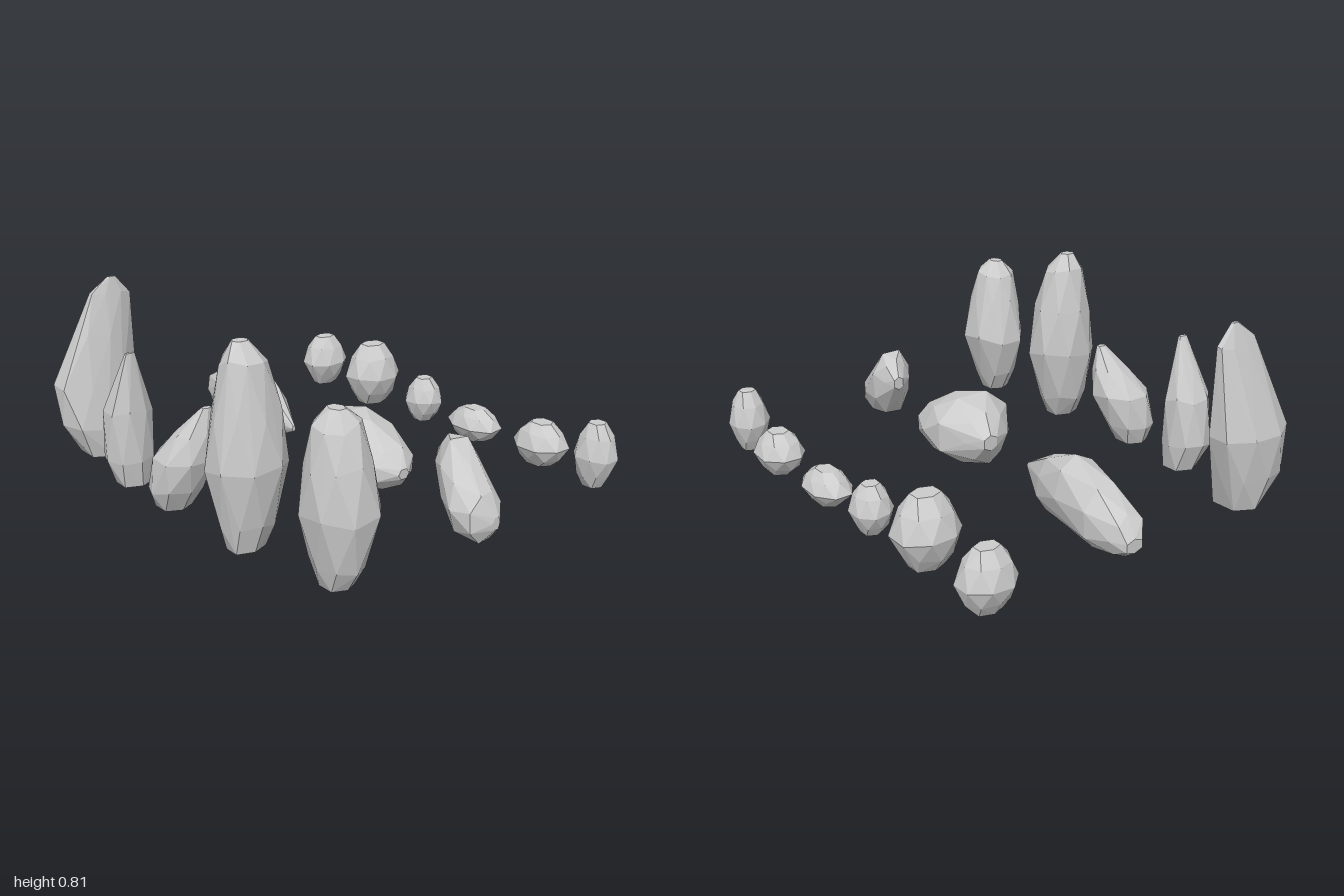
import * as THREE from 'three';
import { ConvexGeometry } from 'three/addons/geometries/ConvexGeometry.js';

const material = new THREE.MeshStandardMaterial({ color: 0xcccccc, flatShading: true });

// Small seeded generator for chipped irregularity
function seeded(seed) {
  let s = seed * 7919 + 17;
  return () => (s = (s * 16807) % 2147483647) / 2147483647;
}

// Rings are [position along axis, a0, a1, b0, b1]; their hull forms one faceted stone.
// Upright stones: axis y, a = x, b = z.  Lying stones: axis z, a = x, b = y.
function stone(name, rings, lying, seed) {
  const rnd = seeded(seed), points = [];
  rings.forEach(([t, a0, a1, b0, b1], r) => {
    const end = r === 0 || r === rings.length - 1;
    const sides = end ? 6 : 8;
    const phase = r % 2 ? 0 : 0.5;
    for (let k = 0; k < sides; k++) {
      const ang = ((k + phase) / sides) * Math.PI * 2;
      const grow = (phase ? 1 / Math.cos(Math.PI / sides) : 1) * (1 - 0.05 * rnd());
      const ca = THREE.MathUtils.clamp(Math.cos(ang) * grow, -1, 1);
      const cb = THREE.MathUtils.clamp(Math.sin(ang) * grow, -1, 1);
      const a = (a0 + a1) / 2 + ca * (a1 - a0) / 2;
      const b = (b0 + b1) / 2 + cb * (b1 - b0) / 2;
      // nudge the middle rings along the axis so facets do not line up
      const p = end ? t : t + (rnd() - 0.5) * 0.05 * Math.abs(rings.at(-1)[0] - rings[0][0]);
      points.push(lying ? new THREE.Vector3(a, b, p) : new THREE.Vector3(a, p, b));
    }
  });
  const mesh = new THREE.Mesh(new ConvexGeometry(points), material);
  mesh.name = name;
  return mesh;
}

// Tall standing stones
const standing = [
  [[0, -.72, -.55, -.93, -.73], [.15, -.82, -.5, -.97, -.72], [.32, -.82, -.45, -.975, -.75],
    [.55, -.74, -.45, -.91, -.77], [.72, -.65, -.46, -.86, -.8], [.8, -.57, -.53, -.83, -.81]],
  [[0, -.78, -.64, -.5, -.36], [.12, -.83, -.61, -.55, -.34], [.33, -.82, -.62, -.52, -.35],
    [.46, -.79, -.66, -.46, -.36], [.59, -.75, -.71, -.39, -.37]],
  [[.01, -.79, -.66, -.17, -.03], [.1, -.84, -.6, -.2, .03], [.24, -.82, -.56, -.17, .07],
    [.35, -.76, -.57, -.08, .07], [.45, -.66, -.62, .02, .05]],
  [[0, -.78, -.64, .32, .44], [.1, -.82, -.58, .26, .48], [.33, -.85, -.53, .23, .51],
    [.54, -.83, -.54, .235, .49], [.74, -.78, -.6, .28, .44], [.81, -.73, -.66, .32, .38]],
  [[.01, -.7, -.59, .78, .9], [.1, -.74, -.55, .72, .95], [.3, -.77, -.49, .68, .99],
    [.48, -.765, -.52, .71, .97], [.62, -.73, -.56, .75, .92], [.68, -.68, -.62, .8, .88]],
];

// Long lying boulders
const boulders = [
  [[-1, .08, .16, .08, .14], [-.94, .01, .19, .03, .21], [-.79, -.03, .2, .01, .27],
    [-.6, -.07, .175, .01, .32], [-.42, -.035, .12, .02, .25], [-.23, -.01, .01, .11, .14]],
  [[-.08, .05, .12, .16, .23], [0, -.07, .155, .06, .3], [.15, -.19, .2, .02, .33],
    [.27, -.175, .195, .02, .31], [.41, -.1, .125, .05, .22], [.48, -.02, .04, .11, .16]],
  [[.61, .07, .12, .23, .29], [.67, 0, .14, .15, .36], [.75, -.06, .15, .06, .37],
    [.86, -.125, .125, .01, .29], [.95, -.1, .08, .02, .22], [1, -.02, .02, .08, .14]],
];

// Small rounded pebbles as bounds: x0, x1, y0, y1, z0, z1
const pebbles = [
  [.61, .84, .02, .27, -.99, -.8],
  [.58, .85, .02, .32, -.63, -.39],
  [.65, .82, .02, .23, -.25, -.07],
  [.65, .83, .02, .17, .04, .31],
  [.65, .85, .02, .21, .44, .69],
  [.65, .82, .02, .3, .78, .96],
];
const pebbleProfile = [[0, .48], [.2, .84], [.47, 1.02], [.78, .84], [1, .4]];

function pebbleRings([x0, x1, y0, y1, z0, z1]) {
  const cx = (x0 + x1) / 2, cz = (z0 + z1) / 2;
  return pebbleProfile.map(([t, s]) => {
    const hx = s * (x1 - x0) / 2, hz = s * (z1 - z0) / 2;
    return [y0 + t * (y1 - y0), cx - hx, cx + hx, cz - hz, cz + hz];
  });
}

export function createModel() {
  const model = new THREE.Group();
  model.name = 'rockSet';
  standing.forEach((r, i) => model.add(stone(`standingStone${i + 1}`, r, false, i + 1)));
  boulders.forEach((r, i) => model.add(stone(`boulder${i + 1}`, r, true, i + 11)));
  pebbles.forEach((p, i) => model.add(stone(`pebble${i + 1}`, pebbleRings(p), false, i + 21)));
  return model;
}
